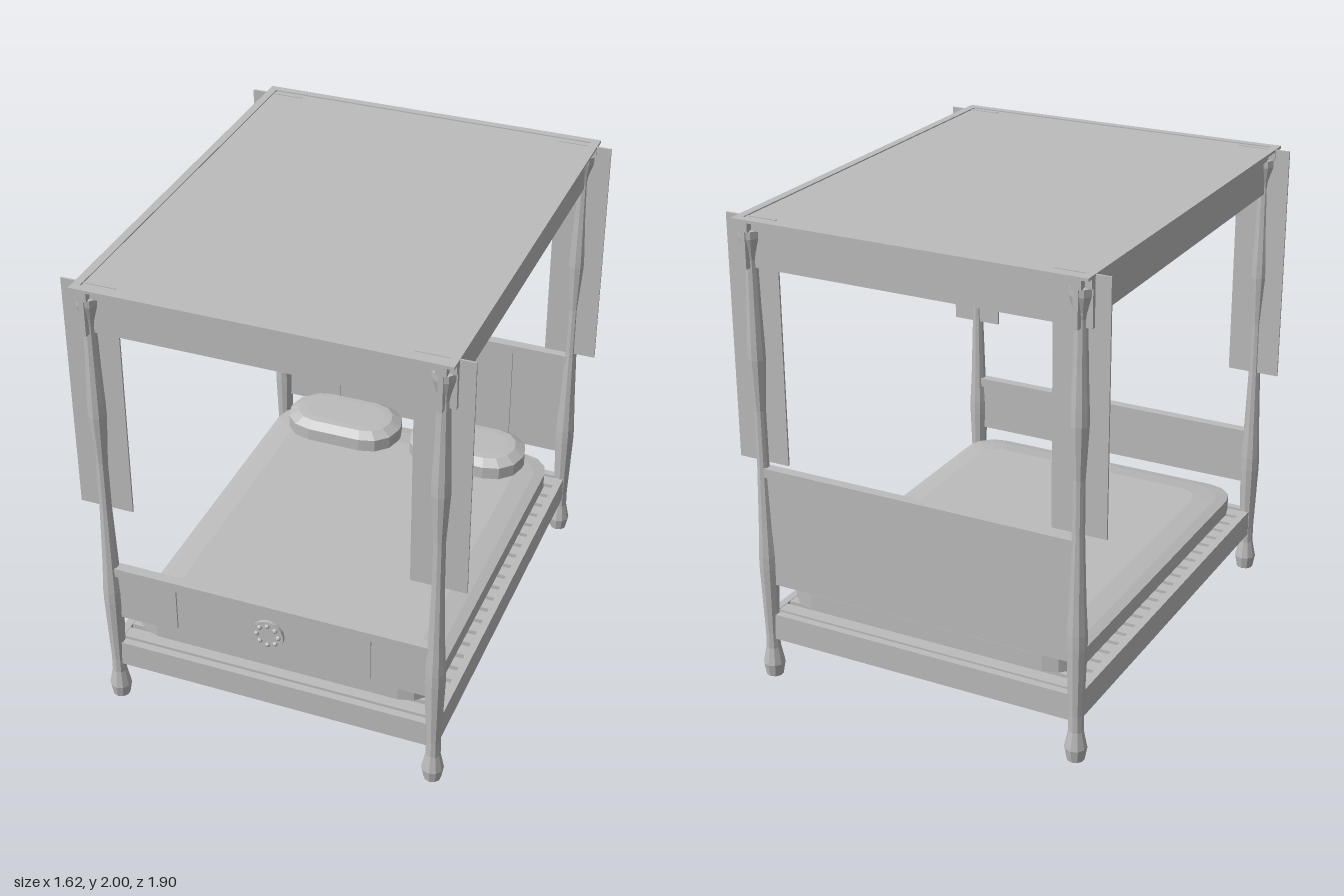
import * as THREE from 'three';

const grey = new THREE.MeshStandardMaterial({ color: 0xbcbcbc, flatShading: true });
grey.name = 'plain grey';

function add(parent, name, geometry, x = 0, y = 0, z = 0) {
  const mesh = new THREE.Mesh(geometry, grey);
  mesh.name = name;
  mesh.position.set(x, y, z);
  parent.add(mesh);
  return mesh;
}

// Box given by its extents along each axis
function box(parent, name, x0, x1, y0, y1, z0, z1) {
  return add(parent, name, new THREE.BoxGeometry(x1 - x0, y1 - y0, z1 - z0),
    (x0 + x1) / 2, (y0 + y1) / 2, (z0 + z1) / 2);
}

// Cushion lofted through rounded rectangles: [y, halfX, halfZ, cornerRadius]
function cushion(rings, steps = 3) {
  const pos = [], index = [], n = 4 * (steps + 1);
  for (const [y, hx, hz, r] of rings) {
    for (let c = 0; c < 4; c++) {
      const sx = c === 0 || c === 3 ? 1 : -1, sz = c < 2 ? -1 : 1;
      for (let k = 0; k <= steps; k++) {
        const a = (c + k / steps) * Math.PI / 2;
        pos.push(sx * (hx - r) + r * Math.cos(a), y, sz * (hz - r) - r * Math.sin(a));
      }
    }
  }
  const last = (rings.length - 1) * n, bottom = rings.length * n, top = bottom + 1;
  pos.push(0, rings[0][0], 0, 0, rings[rings.length - 1][0], 0);
  for (let i = 0; i < n; i++) {
    const j = (i + 1) % n;
    for (let o = 0; o < last; o += n) {
      index.push(o + i, o + j, o + n + j, o + i, o + n + j, o + n + i);
    }
    index.push(bottom, j, i, top, last + i, last + j);
  }
  const g = new THREE.BufferGeometry();
  g.setAttribute('position', new THREE.Float32BufferAttribute(pos, 3));
  g.setIndex(index);
  g.computeVertexNormals();
  return g;
}

// Panelled end board with battens and a beaded medallion on its front face
function endBoard(name, z, bottom, top, medallionY) {
  const g = new THREE.Group();
  g.name = name;
  g.position.z = z;
  box(g, 'panel', -0.69, 0.69, bottom, top - 0.04, -0.012, 0.012);
  box(g, 'topRail', -0.69, 0.69, top - 0.04, top, -0.022, 0.022);
  for (const s of [-1, 1]) {
    box(g, 'batten', s * 0.42 - 0.017, s * 0.42 + 0.017, bottom + 0.02, top - 0.04, 0.01, 0.02);
  }
  add(g, 'medallion', new THREE.CylinderGeometry(0.068, 0.068, 0.016, 24), 0, medallionY, 0.018).rotation.x = Math.PI / 2;
  for (let i = 0; i < 8; i++) {
    const a = i * Math.PI / 4;
    add(g, 'bead', new THREE.SphereGeometry(0.011, 8, 6),
      0.047 * Math.cos(a), medallionY + 0.047 * Math.sin(a), 0.026);
  }
  return g;
}

export function createModel() {
  const bed = new THREE.Group();
  bed.name = 'canopyBed';

  // Turned posts
  const profile = [
    [0, 0], [0.036, 0], [0.046, 0.055], [0.031, 0.13], [0.03, 0.2], [0.036, 0.36],
    [0.041, 0.5], [0.041, 0.56], [0.034, 0.69], [0.025, 0.98], [0.024, 1.2],
    [0.038, 1.42], [0.037, 1.48], [0.03, 1.65], [0.026, 1.83], [0.03, 1.86],
    [0.047, 1.92], [0.047, 1.95], [0.033, 1.955], [0.033, 1.988], [0, 1.988],
  ].map(([r, y]) => new THREE.Vector2(r, y));
  const post = new THREE.LatheGeometry(profile, 10);
  for (const x of [-0.7, 0.7]) {
    for (const z of [-0.9, 0.9]) add(bed, 'post', post, x, 0, z);
  }

  // Bed frame
  for (const s of [-1, 1]) {
    box(bed, 'sideRail', s * 0.7 - 0.016, s * 0.7 + 0.016, 0.175, 0.29, -0.89, 0.89);
    box(bed, 'endRail', -0.69, 0.69, 0.175, 0.29, s * 0.9 - 0.016, s * 0.9 + 0.016);
    box(bed, 'slatLedge', s * 0.67 - 0.016, s * 0.67 + 0.016, 0.225, 0.265, -0.88, 0.88);
  }
  const slats = 22;
  for (let i = 0; i < slats; i++) {
    const z = -0.84 + 1.68 * i / (slats - 1);
    box(bed, 'slat', -0.69, 0.69, 0.265, 0.288, z - 0.029, z + 0.029);
  }

  // Mattress and pillows
  add(bed, 'mattress', cushion([
    [0.295, 0.58, 0.78, 0.1], [0.325, 0.66, 0.86, 0.13], [0.395, 0.66, 0.86, 0.13],
    [0.41, 0.62, 0.8, 0.12], [0.427, 0.54, 0.7, 0.09],
  ]));
  const pillow = cushion([
    [0.425, 0.22, 0.11, 0.1], [0.452, 0.27, 0.158, 0.145], [0.51, 0.27, 0.158, 0.145],
    [0.537, 0.225, 0.12, 0.11], [0.54, 0.19, 0.09, 0.085],
  ]);
  for (const s of [-1, 1]) add(bed, 'pillow', pillow, s * 0.3, 0, -0.685);

  // End boards
  bed.add(endBoard('headboard', -0.9, 0.43, 0.955, 0.82));
  bed.add(endBoard('footboard', 0.9, 0.43, 0.685, 0.545));

  // Canopy: sunk roof panel, raised border, cornice and valances
  box(bed, 'canopyRoof', -0.72, 0.72, 1.982, 1.995, -0.92, 0.92);
  for (const s of [-1, 1]) {
    box(bed, 'sideBorder', s * 0.733 - 0.017, s * 0.733 + 0.017, 1.988, 2, -0.95, 0.95);
    box(bed, 'endBorder', -0.716, 0.716, 1.988, 2, s * 0.933 - 0.017, s * 0.933 + 0.017);
    box(bed, 'sideCornice', s * 0.7 - 0.022, s * 0.7 + 0.022, 1.95, 1.988, -0.95, 0.95);
    box(bed, 'endCornice', -0.75, 0.75, 1.95, 1.988, s * 0.9 - 0.022, s * 0.9 + 0.022);
    box(bed, 'sideValance', s * 0.7 - 0.01, s * 0.7 + 0.01, 1.8, 1.95, -0.95, 0.95);
    box(bed, 'endValance', -0.75, 0.75, 1.8, 1.95, s * 0.9 - 0.01, s * 0.9 + 0.01);
  }

  // Flat curtains hanging at each corner
  for (const x of [-0.698, 0.698]) {
    for (const z of [-0.888, 0.888]) {
      box(bed, 'curtain', x - 0.114, x + 0.114, 0.975, 1.998, z - 0.004, z + 0.004);
    }
  }
  return bed;
}
